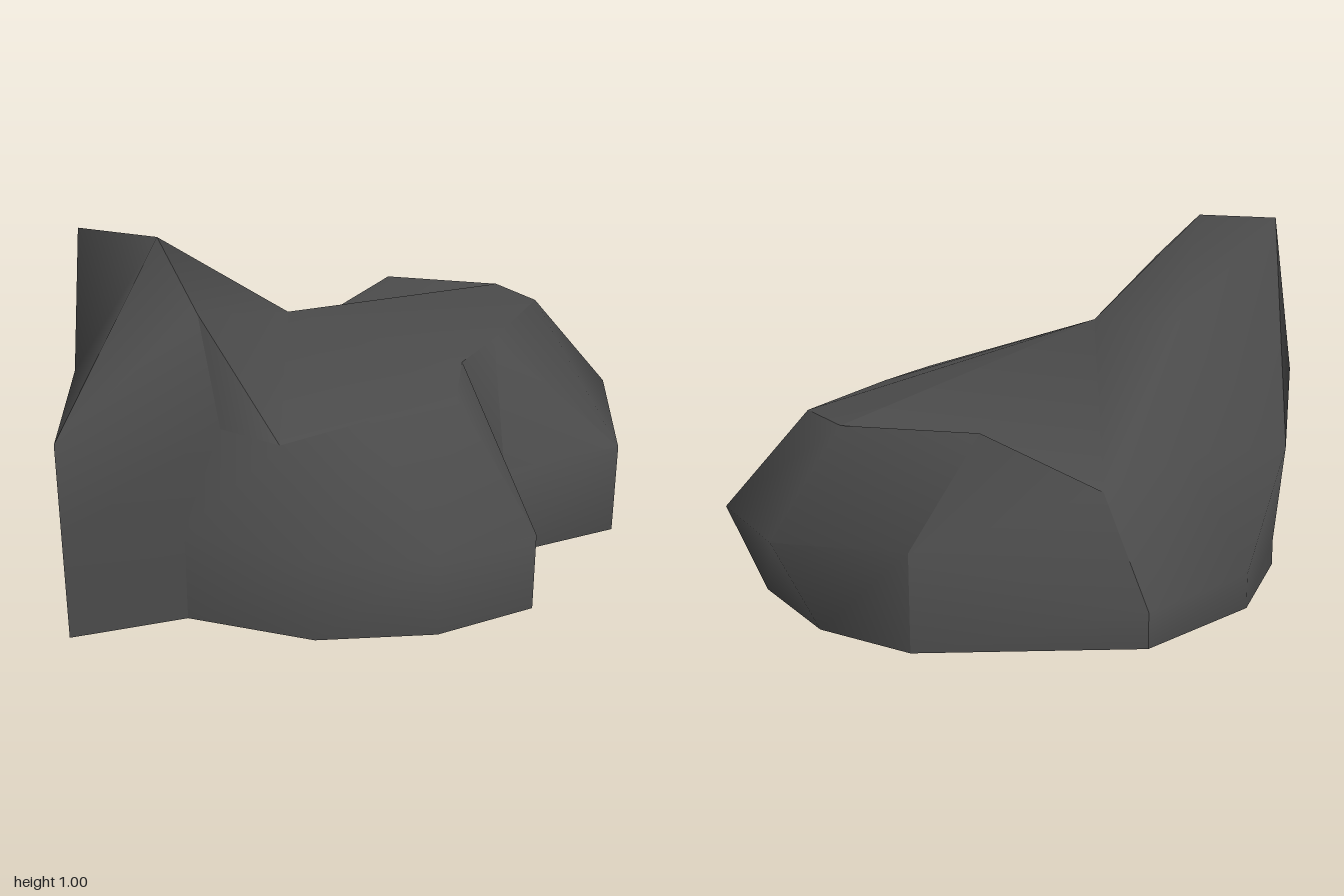
import * as THREE from 'three';
import { toCreasedNormals } from 'three/addons/utils/BufferGeometryUtils.js';

// Columns around the rock, each with a foot, shoulder and rim point [x, y, z]
const columns = [
  [[0.13, 0, 0.785], [0.13, 0.23, 0.785], [0.13, 0.51, 0.42]],
  [[0.245, 0, 0.51], [0.245, 0.28, 0.51], [0.245, 0.55, 0.3]],
  [[0.635, 0, 0.575], [0.635, 0.28, 0.575], [0.45, 0.55, 0.2]],
  [[0.87, 0, 0.15], [0.98, 0.27, 0.15], [0.79, 0.55, 0]],
  [[0.87, 0, -0.2], [1, 0.27, -0.2], [0.79, 0.55, -0.2]],
  [[0.745, 0, -0.47], [0.745, 0.27, -0.47], [0.53, 0.55, -0.47]],
  [[0.225, 0, -0.79], [0.225, 0.1, -0.79], [0.225, 0.37, -0.59]],
  [[-0.17, 0, -0.725], [-0.17, 0.1, -0.725], [-0.17, 0.38, -0.47]],
  [[-0.465, 0, -0.51], [-0.465, 0.08, -0.51], [-0.6, 0.32, -0.41]],
  [[-0.58, 0, -0.3], [-0.58, 0.27, -0.3], [-0.72, 0.53, -0.29]],
  [[-0.76, 0, -0.2], [-0.76, 0.3, -0.2], [-0.76, 0.58, -0.2]],
  [[-1, 0, 0.21], [-1, 0.3, 0.21], [-1, 0.57, 0.21]],
  [[-0.69, 0, 0.3], [-0.69, 0.27, 0.3], [-0.57, 0.54, 0.3]],
  [[-0.46, 0, 0.585], [-0.46, 0.24, 0.585], [-0.46, 0.51, 0.42]],
  [[-0.17, 0, 0.745], [-0.17, 0.23, 0.745], [-0.17, 0.51, 0.42]],
];
const n = columns.length;
const rim = columns.map((c) => c[2]);

// Points of the crest and the sloping back
const ridge = [-0.58, 0.995, 0];
const peak = [-0.72, 0.995, -0.2];
const shoulder = [-0.58, 0.84, 0.215];
const saddle = [-0.17, 0.7, 0];
const hollow = [-0.33, 0.7, -0.2];

// Quads between neighbouring columns, from one column to another
function sides(from, to) {
  const triangles = [];
  for (let i = from; i < to; i++) {
    const p = columns[i % n], q = columns[(i + 1) % n];
    for (let k = 0; k < 2; k++) {
      triangles.push([p[k], q[k], q[k + 1]], [p[k], q[k + 1], p[k + 1]]);
    }
  }
  return triangles;
}

// Triangles from a stretch of rim to one inner point
function fan(from, to, point) {
  const triangles = [];
  for (let i = from; i < to; i++) triangles.push([rim[i % n], rim[(i + 1) % n], point]);
  return triangles;
}

// One smooth region, sharp where it meets its neighbours
function surface(name, material, triangles) {
  const geometry = new THREE.BufferGeometry();
  geometry.setAttribute('position', new THREE.Float32BufferAttribute(triangles.flat(2), 3));
  const mesh = new THREE.Mesh(toCreasedNormals(geometry, 1.22), material);
  mesh.name = name;
  return mesh;
}

export function createModel() {
  const stone = new THREE.MeshStandardMaterial({ color: 0x4a4a4a });
  stone.name = 'dark stone';

  // Top, flowing over the ridge and down the back
  const top = [
    ...fan(13, 19, saddle),
    [rim[4], rim[6], saddle], [rim[4], rim[5], rim[6]], [rim[6], hollow, saddle],
    ...fan(6, 8, hollow),
    [rim[8], peak, hollow], [hollow, peak, ridge], [hollow, ridge, saddle],
    [saddle, ridge, shoulder], [saddle, shoulder, rim[13]], [shoulder, rim[12], rim[13]],
    ...sides(6, 8),
  ];

  // Spur on the right end, leaning against the crest
  const spur = [
    ...sides(8, 12),
    ...fan(8, 10, peak),
    [ridge, peak, rim[10]],
    [rim[10], rim[11], ridge],
    [rim[11], shoulder, ridge],
    [rim[11], rim[12], shoulder],
  ];

  // Flat underside
  const feet = columns.map((c) => c[0]);
  const outline = feet.map(([x, , z]) => new THREE.Vector2(x, -z));
  const under = THREE.ShapeUtils.triangulateShape(outline, [])
    .map(([a, b, c]) => [feet[c], feet[b], feet[a]]);

  const group = new THREE.Group();
  group.name = 'rock';
  group.add(
    surface('topAndBack', stone, top),
    surface('frontAndEnd', stone, sides(12, 20)),
    surface('backCorner', stone, sides(5, 6)),
    surface('spur', stone, spur),
    surface('underside', stone, under),
  );
  return group;
}
